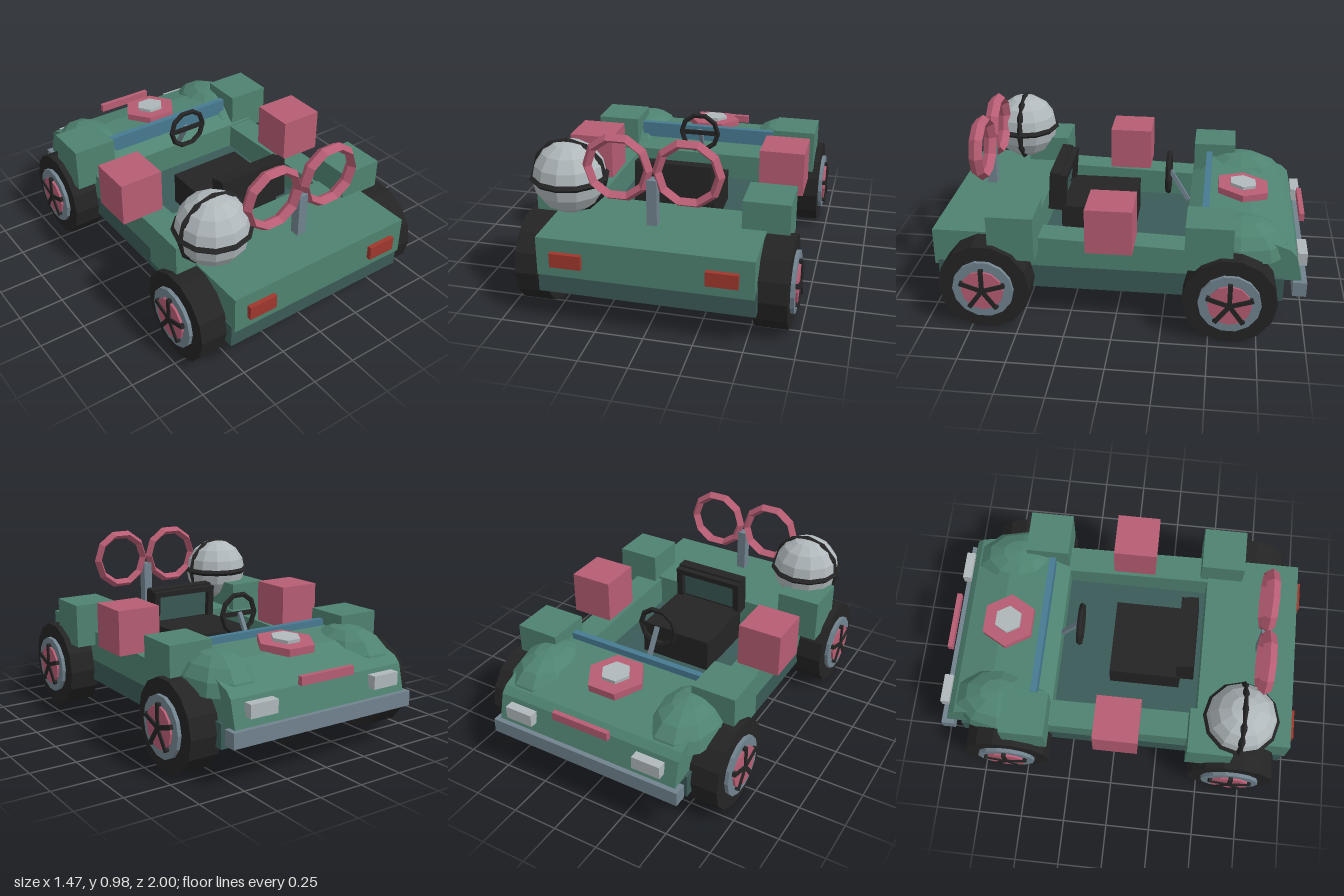
import * as THREE from 'three';

const mat = (name, color) => {
  const m = new THREE.MeshStandardMaterial({ color, flatShading: true, side: THREE.DoubleSide });
  m.name = name;
  return m;
};

export function createModel() {
  const green = mat('bodyGreen', 0x4f8371);
  const teal = mat('darkTeal', 0x3a5a57);
  const pink = mat('pink', 0xb75d73);
  const black = mat('black', 0x242424);
  const silver = mat('silver', 0xb0b8bb);
  const steel = mat('steel', 0x71838f);
  const blue = mat('glassBlue', 0x477a92);
  const red = mat('lampRed', 0xa0372d);

  const car = new THREE.Group();
  car.name = 'buggy';
  const add = (name, geo, m, x = 0, y = 0, z = 0, parent = car) => {
    const mesh = new THREE.Mesh(geo, m);
    mesh.name = name;
    mesh.position.set(x, y, z);
    parent.add(mesh);
    return mesh;
  };
  // Box given by its limits on each axis
  const box = (name, m, x0, x1, y0, y1, z0, z1, parent) =>
    add(name, new THREE.BoxGeometry(x1 - x0, y1 - y0, z1 - z0), m,
      (x0 + x1) / 2, (y0 + y1) / 2, (z0 + z1) / 2, parent);
  // Side profile of [z, y] points, extruded across the car
  const profile = (name, m, pts, halfWidth) => {
    const shape = new THREE.Shape(pts.map(([z, y]) => new THREE.Vector2(-z, y)));
    const geo = new THREE.ExtrudeGeometry(shape, { depth: 2 * halfWidth, bevelEnabled: false });
    geo.translate(0, 0, -halfWidth).rotateY(Math.PI / 2);
    return add(name, geo, m);
  };

  // Chassis, whose top is the cockpit floor
  profile('chassis', teal, [[0.955, 0.18], [0.955, 0.31], [-0.88, 0.31], [-0.88, 0.18]], 0.55);

  // Rear deck, nose and cowl
  box('rearDeck', green, -0.545, 0.545, 0.285, 0.49, 0.45, 0.975);
  profile('hood', green, [[-0.46, 0.3], [-0.46, 0.565], [-0.7, 0.545], [-0.9, 0.475],
    [-0.935, 0.44], [-0.97, 0.3]], 0.535);
  profile('cowl', green, [[-0.36, 0.3], [-0.36, 0.46], [-0.44, 0.51], [-0.47, 0.51], [-0.47, 0.3]], 0.545);
  box('windshield', blue, -0.405, 0.405, 0.5, 0.6, -0.475, -0.44);

  for (const s of [-1, 1]) {
    // Cockpit side wall, slightly lower at the nose end
    const wall = profile('sideWall', green, [[0.46, 0.3], [0.46, 0.478], [-0.38, 0.45], [-0.38, 0.3]], 0.075);
    wall.position.x = s * 0.475;

    // Rounded fender over the nose wheel
    const dome = new THREE.SphereGeometry(1, 10, 4, 0, Math.PI * 2, 0, Math.PI / 2);
    dome.scale(0.195, 0.18, 0.275);
    add('fender', dome, green, s * 0.425, 0.42, -0.645);

    // Corner blocks and the pink side blocks
    const block = new THREE.BoxGeometry(0.243, 0.243, 0.243);
    add('noseBlock', block, green, s * 0.54, 0.519, -0.488);
    add('tailBlock', block, green, s * 0.54, 0.519, 0.528);
    add('sideBlock', block, pink, s * 0.54, 0.587, 0.02);

    // Lamps
    add('tailLamp', new THREE.BoxGeometry(0.16, 0.075, 0.03), red, s * 0.39, 0.383, 0.985);
    add('headLamp', new THREE.BoxGeometry(0.16, 0.07, 0.05), silver, s * 0.385, 0.385, -0.972);

    // Wheels: tyre, rim, hub disc and five spokes
    for (const z of [-0.603, 0.675]) {
      const wheel = new THREE.Group();
      wheel.name = 'wheel';
      wheel.position.set(s * 0.61, 0.242, z);
      if (s < 0) wheel.rotation.y = Math.PI;
      car.add(wheel);
      const disc = (name, r, depth, m, x, sides) =>
        add(name, new THREE.CylinderGeometry(r, r, depth, sides).rotateZ(Math.PI / 2), m, x, 0, 0, wheel);
      disc('tyre', 0.243, 0.17, black, 0, 14);
      disc('rim', 0.162, 0.1, steel, 0.055, 14);
      disc('hubDisc', 0.112, 0.1, pink, 0.067, 12);
      for (let i = 0; i < 5; i++) {
        const spoke = new THREE.BoxGeometry(0.05, 0.125, 0.024);
        spoke.translate(0, 0.0625, 0).rotateX((i * Math.PI * 2) / 5);
        add('spoke', spoke, black, 0.1, 0, 0, wheel);
      }
    }
  }

  // Nose trim
  box('bumper', steel, -0.56, 0.56, 0.22, 0.3, -0.997, -0.925);
  box('noseBar', pink, -0.165, 0.165, 0.455, 0.5, -0.992, -0.965);
  const hex = (name, r, h, m, y) => {
    const cap = add(name, new THREE.CylinderGeometry(r, r, h, 6).rotateY(Math.PI / 6), m, 0, y, -0.655);
    cap.rotation.x = -0.08;
  };
  hex('hoodCap', 0.158, 0.04, pink, 0.565);
  hex('hoodCapCentre', 0.08, 0.03, silver, 0.588);

  // Seat with an inset panel in the backrest
  box('seatCushion', black, -0.21, 0.21, 0.31, 0.495, -0.06, 0.34);
  const back = new THREE.Group();
  back.name = 'seatBack';
  back.position.set(0, 0.47, 0.365);
  back.rotation.x = -0.07;
  car.add(back);
  box('backrest', black, -0.205, 0.205, 0, 0.22, -0.01, 0.05, back);
  box('backrestPanel', teal, -0.165, 0.165, 0.03, 0.175, -0.018, -0.01, back);
  box('backrestTop', black, -0.205, 0.205, 0.18, 0.21, -0.045, -0.01, back);
  for (const s of [-1, 1])
    box('backrestSide', black, s * 0.187 - 0.018, s * 0.187 + 0.018, 0, 0.18, -0.045, -0.01, back);

  // Steering wheel and column
  add('steeringWheel', new THREE.TorusGeometry(0.108, 0.015, 5, 10), black, 0, 0.638, -0.24);
  const column = add('steeringColumn', new THREE.BoxGeometry(0.022, 0.2, 0.022), steel, 0, 0.56, -0.3);
  column.rotation.x = 0.54;
  box('steeringBar', black, -0.105, 0.105, 0.625, 0.65, -0.247, -0.233);

  // Wind-up key
  for (const s of [-1, 1]) {
    const loop = new THREE.TorusGeometry(0.156, 0.024, 4, 10);
    loop.scale(1, 1, 1.55);
    add('keyLoop', loop, pink, s * 0.177, 0.812, 0.773);
  }
  box('keyShaft', steel, -0.027, 0.025, 0.53, 0.77, 0.748, 0.802);

  // Ball with two crossed bands
  const ball = [-0.465, 0.7, 0.675];
  add('ball', new THREE.SphereGeometry(0.19, 12, 8), silver, ...ball);
  const band = () => new THREE.TorusGeometry(0.186, 0.018, 4, 12);
  add('uprightBand', band(), black, ...ball);
  add('levelBand', band().rotateX(Math.PI / 2), black, ...ball);

  return car;
}
